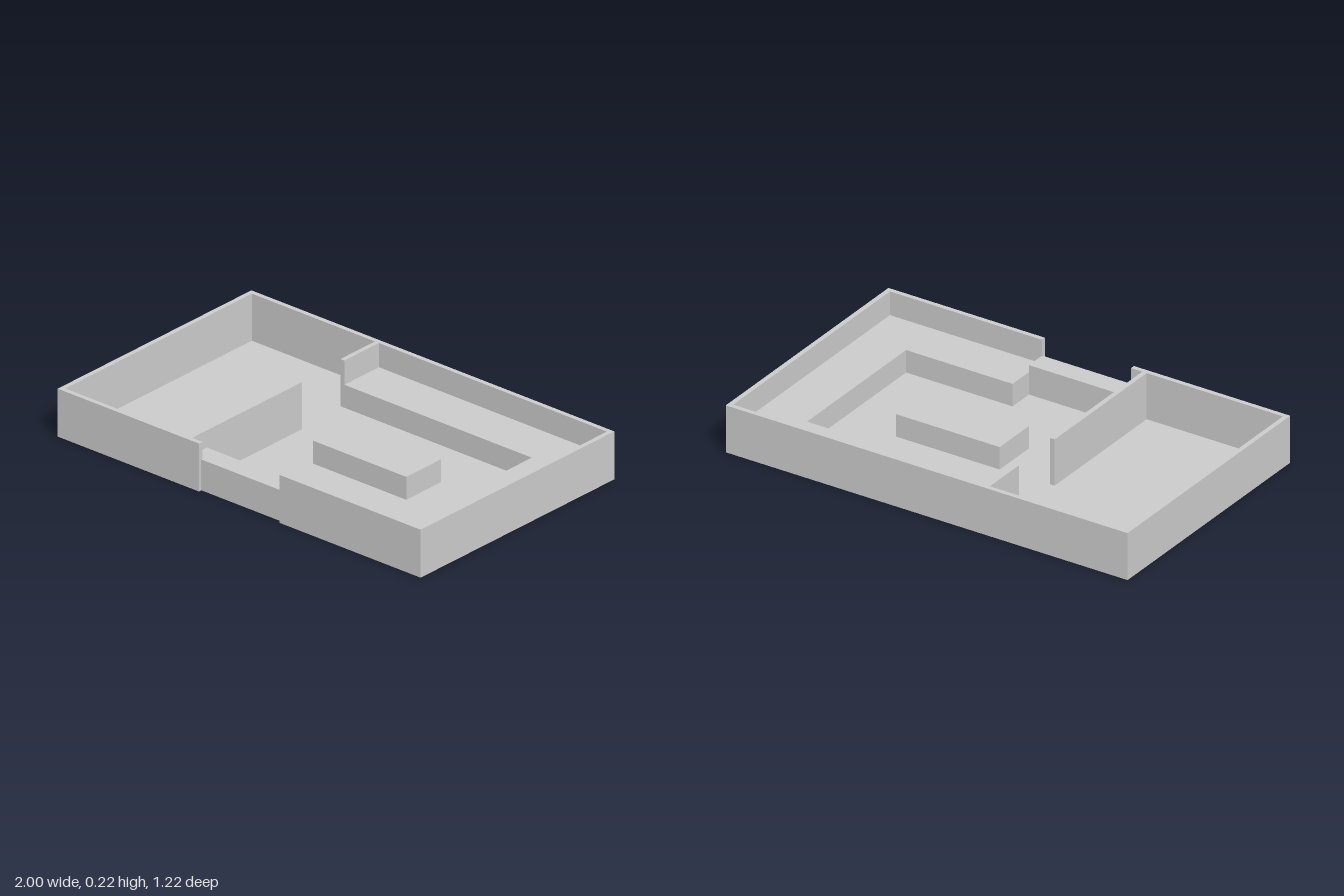
import * as THREE from 'three';

const W = 1, D = 0.61, H = 0.222, T = 0.022; // half width, half depth, wall height, wall thickness
const COUNTER = 0.11, SILL = 0.143, DOOR = 0.222;

export function createModel() {
  const model = new THREE.Group();
  const material = new THREE.MeshStandardMaterial({ color: 0xcccccc, flatShading: true });

  function add(name, geometry) {
    const mesh = new THREE.Mesh(geometry, material);
    mesh.name = name;
    model.add(mesh);
    return mesh;
  }

  // Box given by its limits
  function block(name, x0, x1, y0, y1, z0, z1) {
    add(name, new THREE.BoxGeometry(x1 - x0, y1 - y0, z1 - z0))
      .position.set((x0 + x1) / 2, (y0 + y1) / 2, (z0 + z1) / 2);
  }

  // Plan outline (x, z) raised from the ground to a height
  function raisePlan(name, points, height) {
    const shape = new THREE.Shape(points.map(([x, z]) => new THREE.Vector2(x, -z)));
    const geometry = new THREE.ExtrudeGeometry(shape, { depth: height, bevelEnabled: false });
    add(name, geometry.rotateX(-Math.PI / 2));
  }

  // Floor slab
  block('floor', -W + T / 2, W - T / 2, 0, 0.004, -D + T / 2, D - 0.015);

  // Outer wall, open at the front doorway
  raisePlan('outerWall', [
    [-DOOR, D], [-W, D], [-W, -D], [W, -D], [W, D], [DOOR, D],
    [DOOR, D - T], [W - T, D - T], [W - T, -D + T], [-W + T, -D + T], [-W + T, D - T], [-DOOR, D - T],
  ], H);

  // Inner partition with a passage
  block('partitionBack', -0.3, -0.278, 0, H, -D + T, -0.37);
  block('partitionFront', -0.3, -0.278, 0, H, -0.102, D - T);

  // Low counter running around the back, left and front of the large room
  raisePlan('counter', [
    [-0.278, -D + T], [W - T, -D + T], [W - T, D - T], [0.225, D - T],
    [0.225, 0.373], [0.755, 0.373], [0.755, -0.37], [-0.278, -0.37],
  ], COUNTER);

  // Higher shelf that closes the lower part of the doorway
  raisePlan('doorwayShelf', [
    [-0.278, 0.496], [0.225, 0.496], [0.225, D - T], [DOOR, D - T],
    [DOOR, D - 0.015], [-DOOR, D - 0.015], [-DOOR, D - T], [-0.278, D - T],
  ], SILL);

  // Free-standing island
  block('island', -0.033, 0.482, 0, COUNTER, -0.112, 0.108);

  return model;
}
